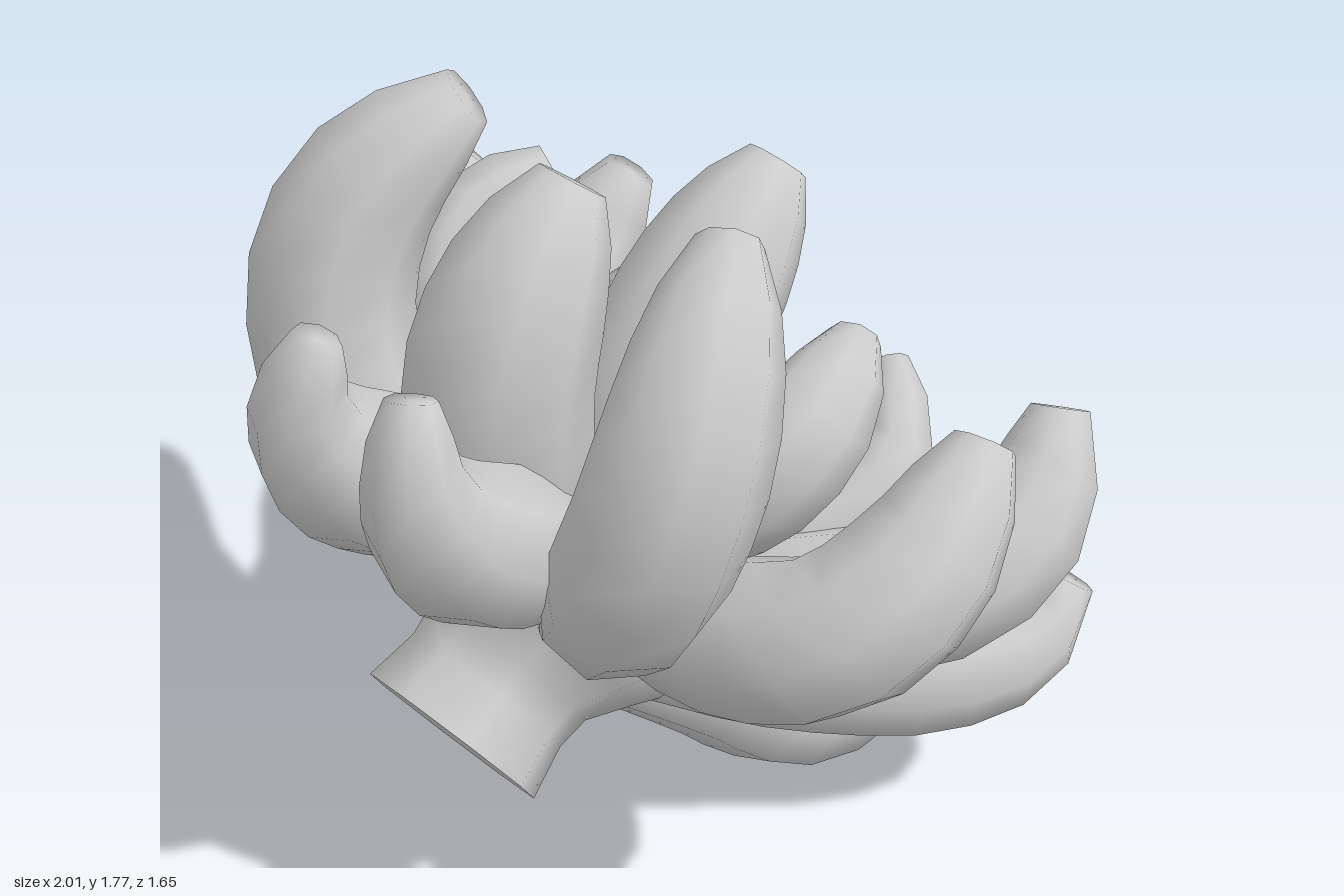
import * as THREE from 'three';
import { mergeVertices } from 'three/addons/utils/BufferGeometryUtils.js';

const material = new THREE.MeshStandardMaterial({ color: 0xcccccc });

// Relative thickness of a finger from root to blunt tip
const FULL = [0.64, 0.75, 0.87, 0.96, 1, 1, 0.99, 0.94, 0.84, 0.67, 0.38, 0];
const TAPERED = [0.72, 0.83, 0.94, 1, 1, 0.96, 0.86, 0.72, 0.59, 0.48, 0.3, 0];

// Smooth eight-sided finger swept along a curved spine, closed at the tip
function finger(name, points, radius, side, profile = FULL) {
  const spine = new THREE.CatmullRomCurve3(
    points.map(([x, y, z]) => new THREE.Vector3(x * side, y, z)));
  const rings = profile.length - 1, sides = 8;
  let geo = new THREE.TubeGeometry(spine, rings, 1, sides, false);
  const pos = geo.attributes.position, v = new THREE.Vector3();
  for (let i = 0; i <= rings; i++) {
    const from = spine.getPointAt(i / rings);
    const to = spine.getPointAt(Math.min(i / (rings - 1), 1));
    for (let j = 0; j <= sides; j++) {
      const k = i * (sides + 1) + j;
      v.fromBufferAttribute(pos, k).sub(from).multiplyScalar(radius * profile[i]).add(to);
      pos.setXYZ(k, v.x, v.y, v.z);
    }
  }
  geo.deleteAttribute('uv');
  geo.deleteAttribute('normal');
  geo = mergeVertices(geo, 1e-4);
  geo.computeVertexNormals();
  const mesh = new THREE.Mesh(geo, material);
  mesh.name = name;
  return mesh;
}

// Mirrored fingers: [name, radius, spine points from root to tip, profile]
const PAIRS = [
  ['frontFinger', 0.185, [[0.1, 0.9, 0.28], [0.16, 1.02, 0.47], [0.185, 1.16, 0.65], [0.185, 1.32, 0.725], [0.15, 1.49, 0.69]], TAPERED],
  ['tallFinger', 0.19, [[0.18, 0.77, 0.25], [0.4, 0.95, 0.36], [0.52, 1.18, 0.37], [0.55, 1.4, 0.31], [0.5, 1.58, 0.2], [0.405, 1.71, 0.06]]],
  ['sideFinger', 0.185, [[0.18, 0.76, 0.18], [0.52, 0.82, 0.15], [0.76, 0.92, 0.07], [0.85, 1.08, -0.1], [0.82, 1.265, -0.285]]],
  ['rearSideFinger', 0.175, [[0.12, 0.64, 0.08], [0.42, 0.7, -0.14], [0.67, 0.77, -0.38], [0.74, 0.92, -0.58], [0.69, 1.1, -0.69]]],
  ['lowSideFinger', 0.16, [[0.1, 0.5, 0.08], [0.36, 0.46, -0.2], [0.59, 0.435, -0.48], [0.69, 0.475, -0.69], [0.7, 0.595, -0.77]]],
  ['bottomFinger', 0.17, [[0.08, 0.47, 0.1], [0.15, 0.34, -0.14], [0.23, 0.17, -0.38], [0.265, 0.175, -0.59], [0.28, 0.33, -0.71]]],
  ['innerFinger', 0.15, [[0.1, 0.82, 0.12], [0.32, 1.02, 0.09], [0.48, 1.16, 0.04], [0.54, 1.29, -0.08], [0.48, 1.38, -0.245]]],
  ['innerRearFinger', 0.145, [[0.08, 0.66, 0.02], [0.25, 0.74, -0.17], [0.39, 0.83, -0.34], [0.43, 0.96, -0.46], [0.3, 1.09, -0.56]], TAPERED],
];

// Fingers on the centre line
const CENTRE = [
  ['centreFrontFinger', 0.205, [[0, 0.8, 0.2], [0, 1.06, 0.32], [0, 1.32, 0.33], [0, 1.54, 0.24], [0, 1.7, 0.12]]],
  ['centreRearFinger', 0.19, [[0, 0.78, 0.04], [0, 0.98, -0.07], [0, 1.18, -0.2], [0, 1.36, -0.35], [0, 1.505, -0.49]]],
];

export function createModel() {
  const group = new THREE.Group();

  // Stem: flares from the cut end into a domed crown
  const stem = new THREE.Group();
  stem.name = 'stem';
  const outline = [[0.233, 0], [0.21, 0.13], [0.22, 0.21], [0.285, 0.3], [0.37, 0.41], [0.36, 0.54], [0.28, 0.64], [0, 0.7]];
  const body = new THREE.Mesh(
    new THREE.LatheGeometry(outline.map(([r, h]) => new THREE.Vector2(r, h)), 8), material);
  body.name = 'stemBody';
  const cut = new THREE.Mesh(new THREE.CircleGeometry(0.233, 8), material);
  cut.name = 'stemCut';
  cut.rotation.x = Math.PI / 2;
  stem.add(body, cut);
  stem.position.set(0, 0.41, 0.495);
  stem.quaternion.setFromUnitVectors(
    new THREE.Vector3(0, 1, 0), new THREE.Vector3(0, 0.58, -0.82).normalize());
  group.add(stem);

  for (const [name, radius, points, profile] of PAIRS) {
    group.add(finger(name + 'Left', points, radius, 1, profile));
    group.add(finger(name + 'Right', points, radius, -1, profile));
  }
  for (const [name, radius, points] of CENTRE) group.add(finger(name, points, radius, 1));
  return group;
}
